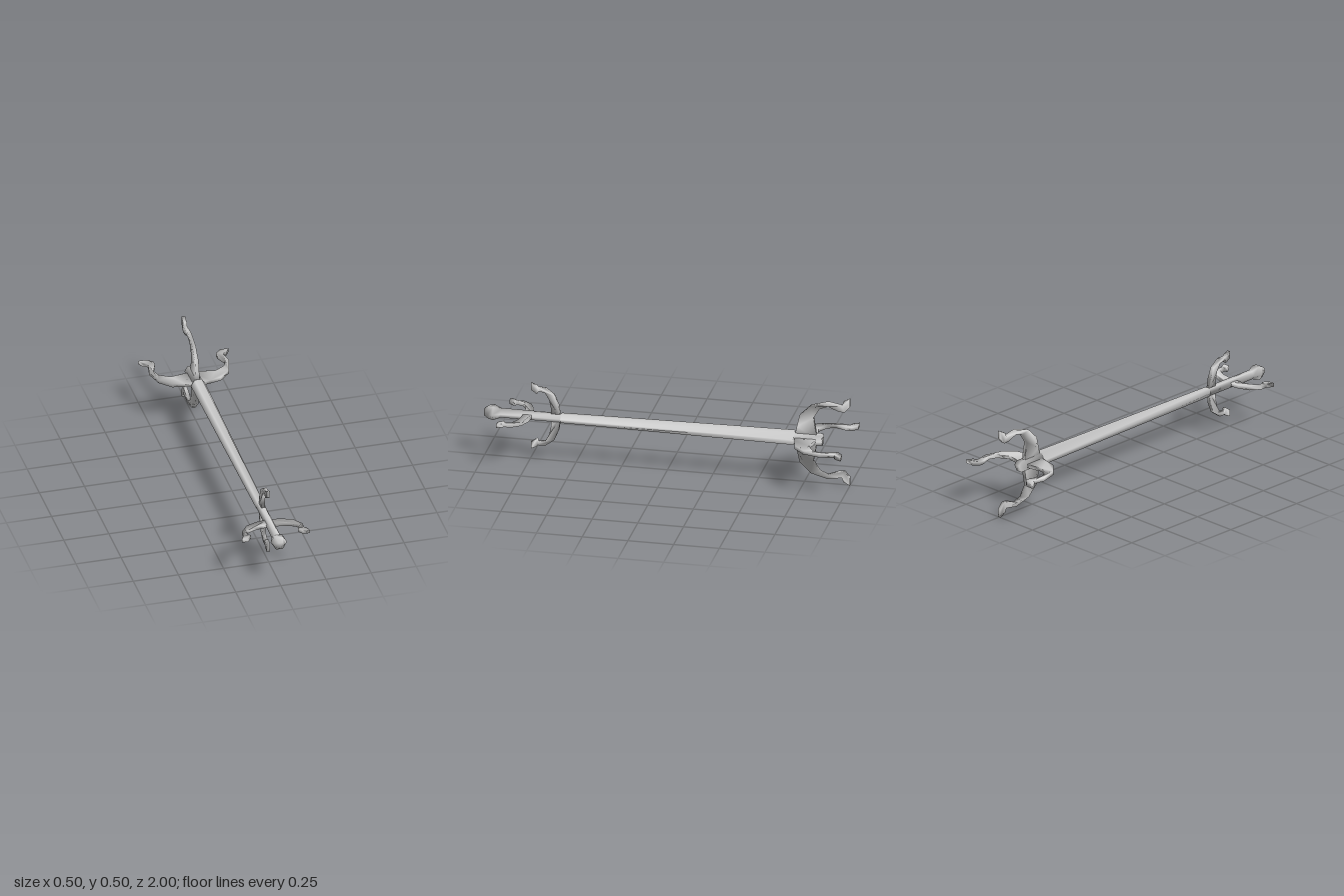
import * as THREE from 'three';
import { mergeVertices } from 'three/addons/utils/BufferGeometryUtils.js';

const material = new THREE.MeshStandardMaterial({ color: 0xcccccc });

// repeatable values from -1 to 1
function seededRandom(seed) {
  let state = seed;
  return () => {
    state = (state * 16807) % 2147483647;
    return (state / 2147483647) * 2 - 1;
  };
}

// weld the vertices and give each the mean of its triangles' normals, tilted
// unevenly so the broad facets show the streaks of hand-forged metal
function forge(geometry, seed, unevenness) {
  geometry.deleteAttribute('uv');
  geometry.deleteAttribute('normal');
  const welded = mergeVertices(geometry, 1e-4);
  const { position } = welded.attributes;
  const index = welded.index.array;
  const normals = Array.from({ length: position.count }, () => new THREE.Vector3());
  const triangle = new THREE.Triangle();
  const faceNormal = new THREE.Vector3();
  for (let i = 0; i < index.length; i += 3) {
    const corners = [index[i], index[i + 1], index[i + 2]];
    triangle.setFromAttributeAndIndices(position, ...corners);
    triangle.getNormal(faceNormal);
    corners.forEach((c) => normals[c].add(faceNormal));
  }
  const random = seededRandom(seed);
  const tilt = new THREE.Vector3();
  const flat = normals.flatMap((n) => {
    tilt.set(random(), random(), random()).setLength(unevenness);
    return n.normalize().add(tilt).normalize().toArray();
  });
  welded.setAttribute('normal', new THREE.Float32BufferAttribute(flat, 3));
  return welded;
}

// claw slab from an outline of [distance from axis, z]
function clawGeometry(outline, thickness, seed) {
  const shape = new THREE.Shape(outline.map(([r, z]) => new THREE.Vector2(r, z)));
  const geometry = new THREE.ExtrudeGeometry(shape, { depth: thickness, bevelEnabled: false });
  geometry.translate(0, 0, -thickness / 2);
  geometry.rotateX(Math.PI / 2);
  return forge(geometry, seed, 0.9);
}

export function createModel() {
  const model = new THREE.Group();
  model.name = 'clawedStaff';
  const axis = new THREE.Group();
  axis.name = 'staffAxis';
  axis.position.y = 0.25;
  model.add(axis);

  const add = (name, geometry, turn = 0, z = 0) => {
    const mesh = new THREE.Mesh(geometry, material);
    mesh.name = name;
    mesh.rotation.z = turn;
    mesh.position.z = z;
    axis.add(mesh);
  };

  // six-sided tapering shaft, stepped where the claws meet it, with a front knob: [radius, z]
  const profile = [
    [0, -0.85], [0.034, -0.85], [0.034, -0.697], [0.041, -0.694],
    [0.028, 0.58], [0.025, 0.583], [0.026, 0.91], [0.043, 0.95],
    [0.038, 0.975], [0.022, 1], [0, 1],
  ].map(([r, z]) => new THREE.Vector2(r, z));
  const shaft = new THREE.LatheGeometry(profile, 6, Math.PI / 2);
  shaft.rotateX(Math.PI / 2);
  add('shaft', forge(shaft, 4711, 0.8));

  // large claws at the back, hooked outwards at the tips
  const rearOutline = [
    [0, -0.695], [0.07, -0.71], [0.135, -0.725], [0.195, -0.785], [0.222, -0.88],
    [0.208, -0.955], [0.232, -0.965], [0.25, -1], [0.205, -1], [0.172, -0.97],
    [0.174, -0.94], [0.198, -0.88], [0.181, -0.835], [0.125, -0.8], [0.07, -0.81],
    [0, -0.82],
  ];
  // smaller claws near the front
  const frontOutline = [
    [0, 0], [0.07, 0.01], [0.13, 0.035], [0.167, 0.085], [0.166, 0.125],
    [0.176, 0.132], [0.188, 0.162], [0.152, 0.162], [0.13, 0.13], [0.147, 0.12],
    [0.14, 0.085], [0.1, 0.062], [0.05, 0.052], [0, 0.05],
  ];
  // four of each; the upright front pair sits behind the level pair
  ['Left', 'Upper', 'Right', 'Lower'].forEach((side, i) => {
    const turn = i * Math.PI / 2;
    add('rearClaw' + side, clawGeometry(rearOutline, 0.02, 90001 + 7919 * i), turn);
    add('frontClaw' + side, clawGeometry(frontOutline, 0.02, 50021 + 6101 * i), turn, i % 2 ? 0.583 : 0.736);
  });

  return model;
}
